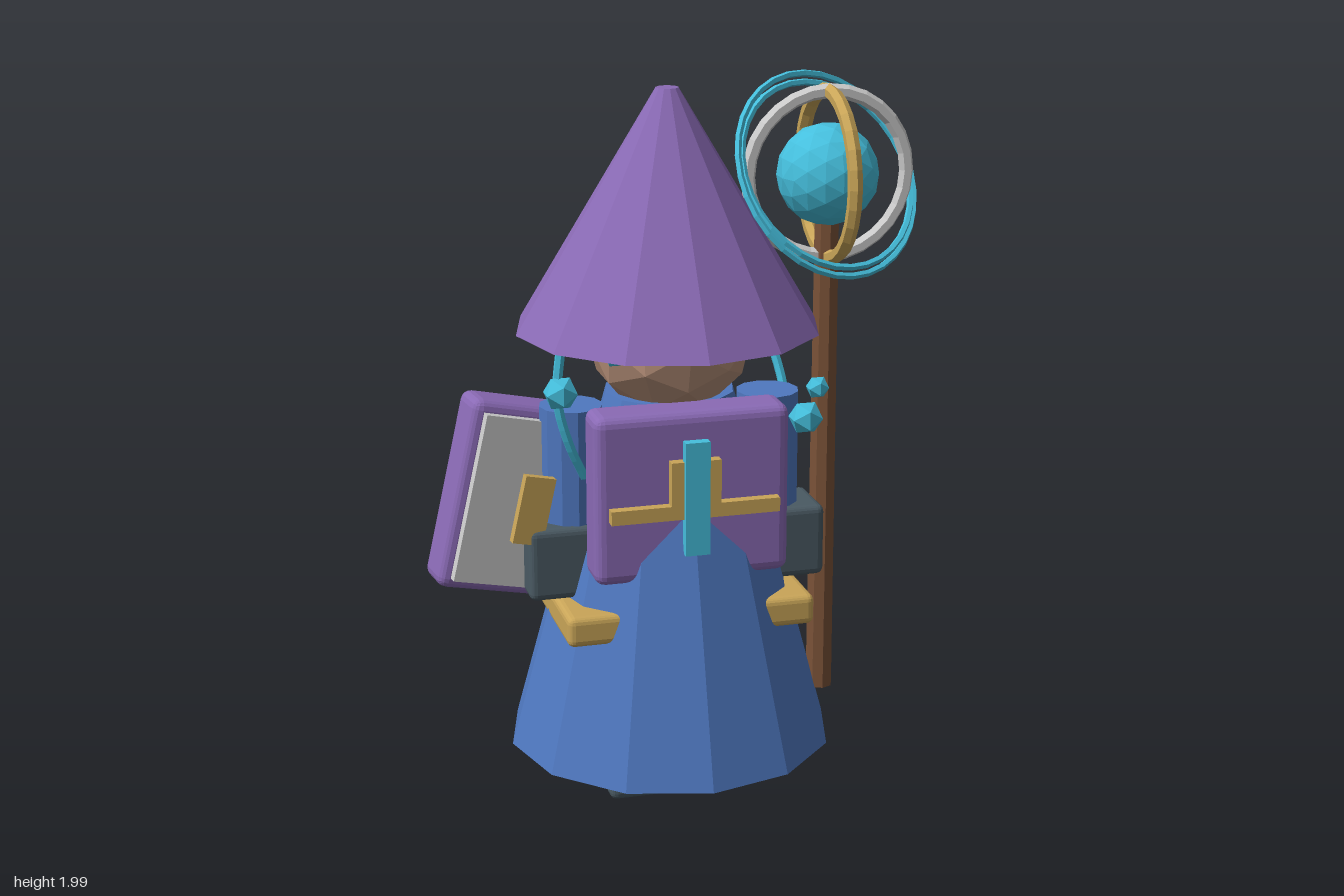
import * as THREE from 'three';
import { RoundedBoxGeometry } from 'three/addons/geometries/RoundedBoxGeometry.js';

const COLORS = {
  purple: 0x8a6ab5, blue: 0x4f78c0, slate: 0x4a5a63, gold: 0xc9a558,
  wood: 0x7a5238, skin: 0xb8917a, cyan: 0x45bfdd, silver: 0xcccccc,
};

export function createModel() {
  const root = new THREE.Group();
  const materials = {};
  for (const [key, color] of Object.entries(COLORS)) {
    materials[key] = new THREE.MeshStandardMaterial({ color, flatShading: true });
  }

  function add(name, geometry, color, position = [0, 0, 0], parent = root) {
    const mesh = new THREE.Mesh(geometry, materials[color]);
    mesh.name = name;
    mesh.position.set(...position);
    parent.add(mesh);
    return mesh;
  }
  const rounded = (w, h, d, r = 0.02) => new RoundedBoxGeometry(w, h, d, 2, r);
  const box = (w, h, d) => new THREE.BoxGeometry(w, h, d);
  const ball = (r, detail) => new THREE.IcosahedronGeometry(r, detail);
  const cx = -0.032; // centre line of the figure

  // Robe, head and hat
  add('robe', new THREE.CylinderGeometry(0.185, 0.47, 1.04, 12), 'blue', [cx, 0.62, 0]);
  add('head', ball(0.238, 1), 'skin', [cx, 1.305, 0]);
  add('hat', new THREE.CylinderGeometry(0.032, 0.433, 0.67, 12), 'purple', [cx, 1.65, -0.017]);

  // Paired parts: boots, arms, gloves and spectacle lenses
  for (const side of [-1, 1]) {
    const label = side > 0 ? 'left' : 'right';
    add(label + 'Boot', rounded(0.23, 0.13, 0.355), 'slate', [cx + side * 0.123, 0.067, 0.072]);
    add(label + 'Arm', new THREE.CylinderGeometry(0.09, 0.09, 0.4, 12), 'blue', [cx + side * 0.287, 0.915, 0.01]);
    add(label + 'Glove', rounded(0.21, 0.21, 0.195), 'slate', [cx + side * 0.327, 0.68, 0.018]);
    add(label + 'Spectacle', new THREE.TorusGeometry(0.045, 0.011, 6, 12), 'silver', [cx + side * 0.088, 1.34, 0.245]);
  }

  // Belt block whose corners stand out of the robe
  add('belt', rounded(0.715, 0.088, 0.52), 'gold', [cx, 0.528, 0]);

  // Chest panel with gold cross and ribbon
  add('chestPanel', rounded(0.555, 0.485, 0.14, 0.03), 'purple', [cx, 0.898, 0.19]);
  add('chestBar', box(0.48, 0.04, 0.03), 'gold', [cx, 0.865, 0.275]);
  add('chestUpright', box(0.142, 0.125, 0.03), 'gold', [cx, 0.947, 0.275]);
  add('ribbon', box(0.07, 0.325, 0.03), 'cyan', [cx, 0.905, 0.29]);

  // Tilted book beside the right arm
  const book = new THREE.Group();
  book.name = 'book';
  book.position.set(-0.457, 0.835, -0.07);
  book.rotation.set(0, 0.13, -0.23);
  root.add(book);
  add('bookCover', rounded(0.42, 0.553, 0.14, 0.03), 'purple', [0, 0, 0], book);
  add('bookPage', box(0.355, 0.485, 0.028), 'silver', [0, 0, 0.084], book);
  add('bookClasp', box(0.09, 0.195, 0.026), 'gold', [-0.015, 0.005, 0.165], book);

  // Staff with orb and rings
  const orbCentre = [0.428, 1.725, 0];
  add('staff', new THREE.CylinderGeometry(0.036, 0.04, 1.42, 8), 'wood', [0.428, 0.895, 0]);
  add('orb', ball(0.145, 2), 'cyan', orbCentre);
  const ringGeometry = new THREE.TorusGeometry(0.233, 0.021, 6, 28);
  add('silverRing', ringGeometry, 'silver', orbCentre);
  add('goldRing', ringGeometry, 'gold', orbCentre).rotation.y = Math.PI / 2;
  const tilts = [[0.3, 0.32, 0.48, 0.815], [0.278, 0.28, 0.52, 0.81]];
  for (const [radius, nx, ny, nz] of tilts) {
    const ring = add('orbitRing', new THREE.TorusGeometry(radius, 0.01, 5, 32), 'cyan', orbCentre);
    ring.quaternion.setFromUnitVectors(new THREE.Vector3(0, 0, 1), new THREE.Vector3(nx, ny, nz).normalize());
  }

  // Cords hanging under the hat brim
  const cords = [
    [[-0.38, 1.33, 0.17], [-0.392, 1.18, 0.17], [-0.36, 1.05, 0.16], [-0.31, 0.94, 0.13]],
    [[0.27, 1.33, -0.195], [0.325, 1.18, -0.155], [0.345, 1.06, -0.11], [0.335, 0.95, -0.065]],
  ];
  for (const points of cords) {
    const curve = new THREE.CatmullRomCurve3(points.map((p) => new THREE.Vector3(...p)));
    add('cord', new THREE.TubeGeometry(curve, 12, 0.014, 6), 'cyan');
  }

  // Crystal beads
  const beads = [
    [0.05, -0.385, 1.2, 0.18], [0.034, -0.235, 1.3, 0.2],
    [0.05, 0.31, 1.08, 0.195], [0.034, 0.36, 1.15, 0.145],
  ];
  for (const [radius, ...position] of beads) add('bead', ball(radius, 0), 'cyan', position);

  return root;
}
